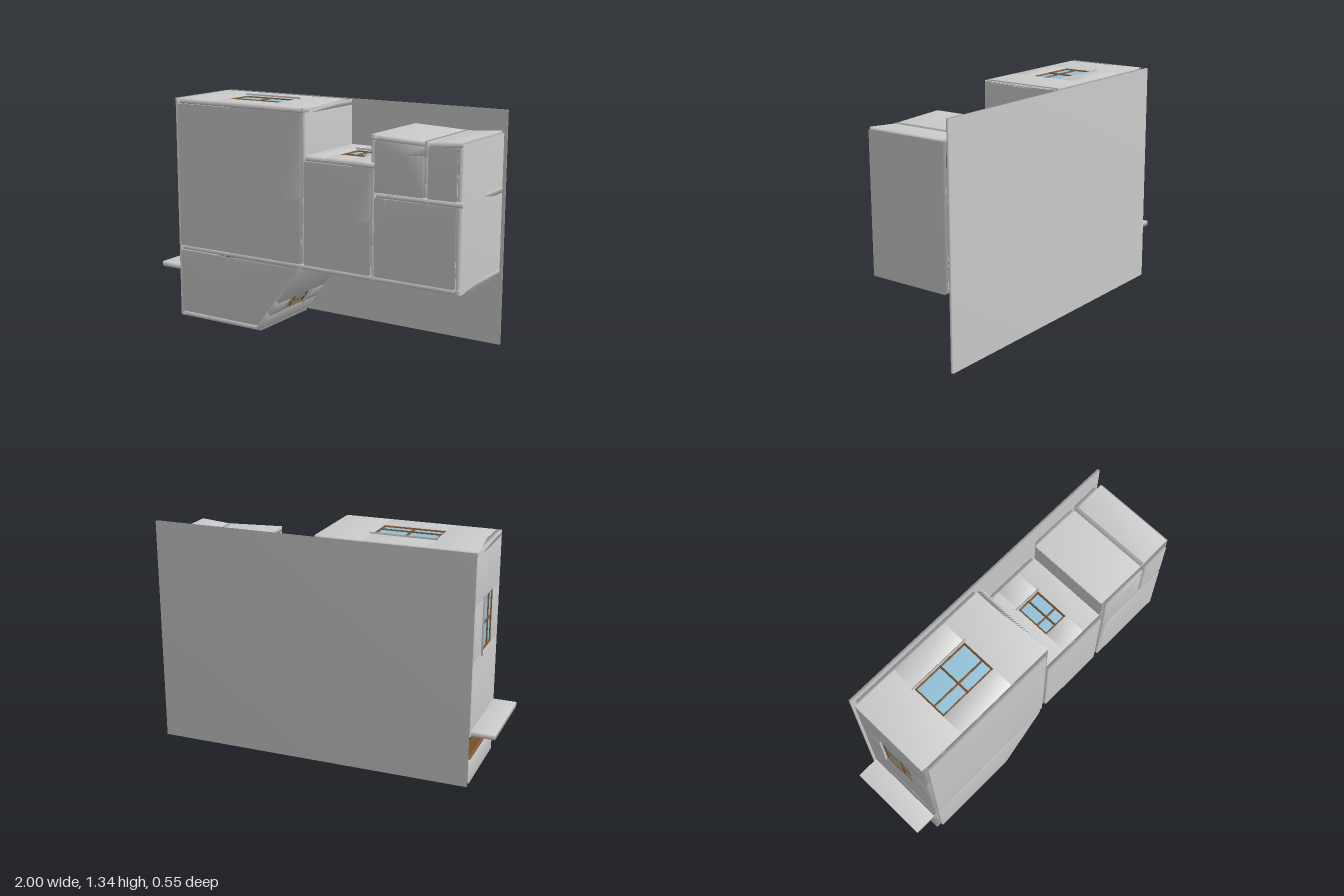
import * as THREE from 'three';
import { mergeVertices } from 'three/addons/utils/BufferGeometryUtils.js';

const grey = new THREE.MeshStandardMaterial({ color: 0xcccccc });
const wood = new THREE.MeshStandardMaterial({ color: 0x8a5a30 });
const pane = new THREE.MeshStandardMaterial({ color: 0x8fc0d8 });

const T = 0.03;                        // wall thickness
const FLOOR = -0.23, CEIL = 0.256;     // wall extent along z
const SILL = -0.08, HEAD = 0.13;       // opening extent along z

// Corners share averaged normals for the soft shading across flat faces
function soften(geo) {
  geo.deleteAttribute('normal');
  geo.deleteAttribute('uv');
  const g = mergeVertices(geo, 1e-4);
  g.computeVertexNormals();
  return g;
}

// Box from s0..s1 along the wall, z0..z1 in depth, t thick, centred on the wall line
function slab(parent, name, s0, s1, z0, z1, t, mat = grey) {
  const mesh = new THREE.Mesh(soften(new THREE.BoxGeometry(s1 - s0, t, z1 - z0)), mat);
  mesh.position.set((s0 + s1) / 2, 0, (z0 + z1) / 2);
  mesh.name = name;
  parent.add(mesh);
  return mesh;
}

function addWindow(parent, a, b) {
  const g = new THREE.Group();
  g.name = 'window';
  const w = 0.01, m = (a + b) / 2;
  for (const s of [a + w / 2, m, b - w / 2])
    slab(g, 'windowUpright', s - w / 2, s + w / 2, SILL, HEAD, 0.02, wood);
  for (const z of [SILL + w / 2, 0.056, HEAD - w / 2])
    slab(g, 'windowRail', a, b, z - w / 2, z + w / 2, 0.019, wood);
  slab(g, 'glass', a, b, SILL, HEAD, 0.006, pane);
  slab(g, 'windowSill', a - 0.012, b + 0.012, SILL - 0.009, SILL, 0.046);
  parent.add(g);
}

function addDoor(parent, a, b) {
  const g = new THREE.Group();
  g.name = 'door';
  for (const s of [a, b - 0.01]) slab(g, 'doorPost', s, s + 0.01, FLOOR, HEAD, 0.034, wood);
  slab(g, 'doorHead', a, b, HEAD - 0.01, HEAD, 0.034, wood);
  slab(g, 'doorLeaf', a + 0.01, b - 0.01, FLOOR, HEAD - 0.01, 0.012, wood);
  parent.add(g);
}

// Straight wall with openings [kind, start, end] measured from its first point
function wall(name, x0, y0, x1, y1, openings = [], pad = T / 2) {
  const g = new THREE.Group();
  g.name = name;
  g.position.set(x0, y0, 0);
  g.rotation.z = Math.atan2(y1 - y0, x1 - x0);
  let s = -pad;
  for (const [kind, a, b] of openings) {
    slab(g, 'wallPanel', s, a, FLOOR, CEIL, T);
    slab(g, 'lintel', a, b, HEAD, CEIL, T);
    if (kind === 'window') {
      slab(g, 'parapet', a, b, FLOOR, SILL, T);
      addWindow(g, a, b);
    } else addDoor(g, a, b);
    s = b;
  }
  slab(g, 'wallPanel', s, Math.hypot(x1 - x0, y1 - y0) + pad, FLOOR, CEIL, T);
  return g;
}

// Flat plate over a room outline
function plate(name, points, z0, z1) {
  const shape = new THREE.Shape(points.map(([x, y]) => new THREE.Vector2(x, y)));
  const geo = new THREE.ExtrudeGeometry(shape, { depth: z1 - z0, bevelEnabled: false });
  const mesh = new THREE.Mesh(soften(geo), grey);
  mesh.position.z = z0;
  mesh.name = name;
  return mesh;
}

export function createModel() {
  const model = new THREE.Group();
  model.name = 'apartment';

  // Outer walls
  model.add(
    wall('topWall', -0.85, 1.32, 0.03, 1.32, [['window', 0.26, 0.62]]),
    wall('leftWall', -0.85, 0.03, -0.85, 1.32, [['door', 0.13, 0.265], ['window', 0.7, 1.01]]),
    wall('bottomWall', -0.85, 0.03, -0.285, 0.03, [['window', 0.19, 0.38]], 0.014),
    wall('slantedWall', 0.005, 0.435, -0.287, 0.03, [['window', 0.28, 0.382]], 0.008),
    wall('middleTopWall', 0.03, 1.06, 0.475, 1.06, [['window', 0.145, 0.3]]),
    wall('sideTopWall', 0.475, 1.212, 0.81, 1.198),
    wall('sideTopWallEnd', 0.81, 1.198, 0.982, 1.212, [], 0.005),
    wall('rightWall', 0.982, 0.445, 0.982, 1.2),
    wall('balconyWall', -0.985, 0.315, -0.85, 0.315)
  );

  // Inner walls, some closing the rooms above the slanted part
  model.add(
    wall('crossWall', -0.85, 0.445, 0.982, 0.445,
      [['door', 0.355, 0.52], ['window', 1.05, 1.18], ['window', 1.5, 1.66]]),
    wall('hallWall', 0.03, 0.445, 0.03, 1.32, [['door', 0.25, 0.39]]),
    wall('sideWall', 0.475, 0.445, 0.475, 1.21, [['door', 0.18, 0.315]]),
    wall('sideCrossWall', 0.475, 0.905, 0.982, 0.905, [['door', 0.075, 0.195]]),
    wall('closetWall', 0.79, 0.905, 0.79, 1.2, [['door', 0.09, 0.225]])
  );

  // Rooms; the narrow notches are where open doors cut the plates
  const rooms = {
    mainRoom: [[-0.835, 0.46], [0.013, 0.46], [0.013, 0.825], [-0.11, 0.815], [0.013, 0.836],
      [0.013, 1.303], [-0.835, 1.303]],
    lowerRoom: [[-0.835, 0.05], [-0.29, 0.05], [0.0, 0.425], [-0.488, 0.425], [-0.495, 0.31],
      [-0.498, 0.425], [-0.835, 0.425]],
    middleRoom: [[0.045, 0.46], [0.459, 0.46], [0.459, 0.752], [0.36, 0.735], [0.459, 0.762],
      [0.459, 1.042], [0.045, 1.042]],
    sideRoom: [[0.491, 0.46], [0.965, 0.46], [0.965, 0.889], [0.56, 0.889], [0.551, 0.775],
      [0.549, 0.889], [0.491, 0.889]],
    upperSideRoom: [[0.491, 0.921], [0.775, 0.921], [0.775, 1.135], [0.655, 1.125],
      [0.775, 1.146], [0.775, 1.187], [0.491, 1.196]],
    closet: [[0.806, 0.921], [0.965, 0.921], [0.965, 1.195], [0.806, 1.187]]
  };
  for (const [name, outline] of Object.entries(rooms)) {
    model.add(plate(name + 'Ceiling', outline, CEIL, 0.277));
    model.add(plate(name + 'Floor', outline, -0.258, FLOOR));
  }

  // Ground plate behind everything
  model.add(plate('groundPlate',
    [[-0.865, 0.015], [0.998, 0.015], [0.998, 1.335], [-0.865, 1.335]], -0.277, -0.261));

  // Stand on the ground and centre
  const box = new THREE.Box3().setFromObject(model);
  const c = box.getCenter(new THREE.Vector3());
  const root = new THREE.Group();
  root.name = 'apartmentModel';
  model.position.set(-c.x, -box.min.y, -c.z);
  root.add(model);
  return root;
}
